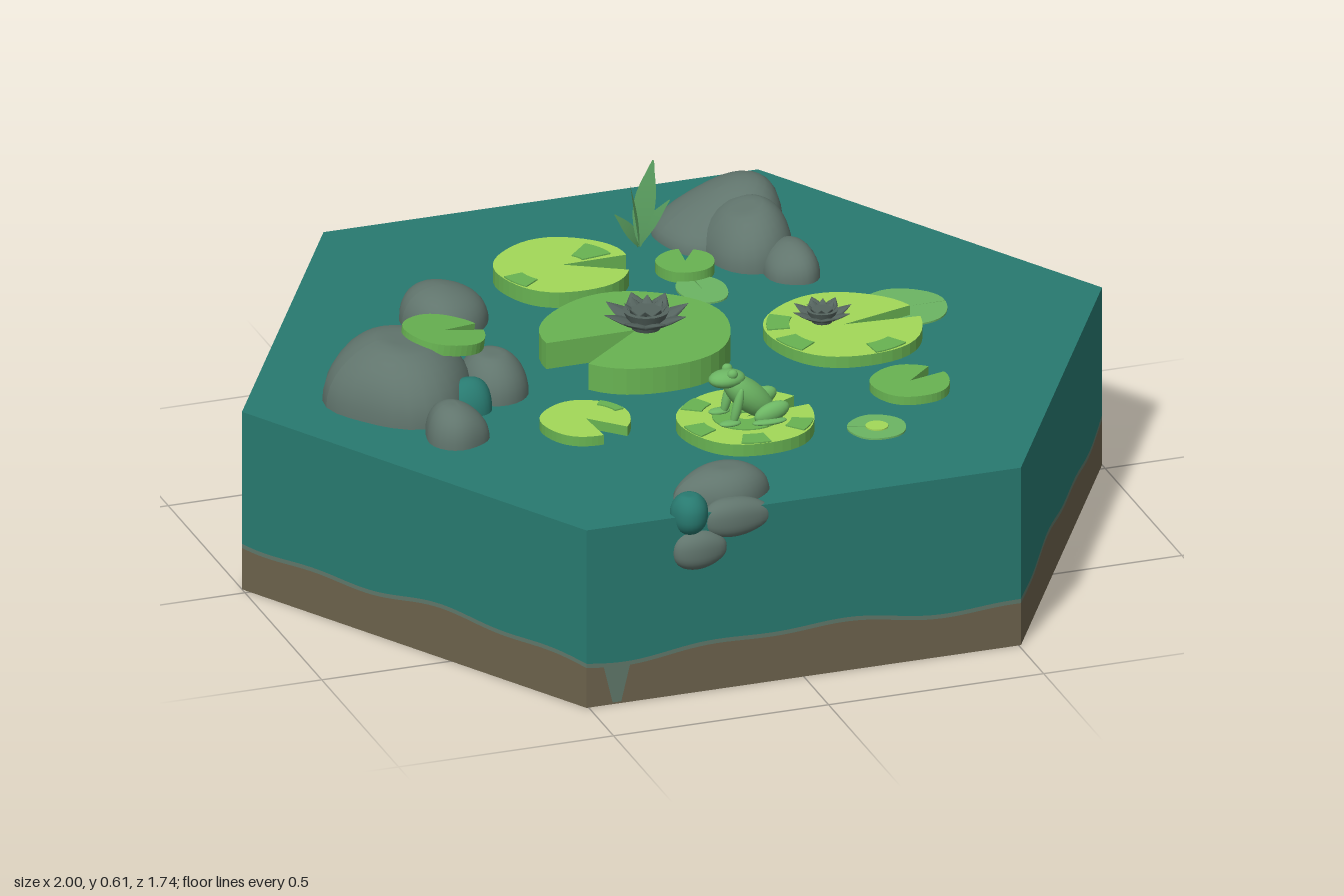
import * as THREE from 'three';

const mat = (name, color, side = THREE.FrontSide) => {
  const m = new THREE.MeshStandardMaterial({ color, side });
  m.name = name;
  return m;
};

export function createModel() {
  const water = mat('water teal', 0x287a70);
  const mud = mat('mud brown', 0x6c624c);
  const silt = mat('silt grey green', 0x5f776a);
  const bedrock = mat('bedrock dark', 0x4c625b);
  const stone = mat('stone grey', 0x61756d);
  const lime = mat('lime leaf', 0xa2d858);
  const green = mat('mid green leaf', 0x68b352);
  const pale = mat('soft green leaf', 0x6cb563);
  const reed = mat('reed green', 0x55965a, THREE.DoubleSide);
  const petalDark = mat('petal charcoal', 0x55645f);

  const root = new THREE.Group();
  const add = (name, geo, material, x = 0, y = 0, z = 0, parent = root) => {
    const m = new THREE.Mesh(geo, material);
    m.name = name;
    m.position.set(x, y, z);
    parent.add(m);
    return m;
  };
  const group = (name, x, y, z) => {
    const g = new THREE.Group();
    g.name = name;
    g.position.set(x, y, z);
    root.add(g);
    return g;
  };

  // Hexagonal block: water over a wavy bed of mud
  const TOP = 0.425, STEPS = 50;
  const corners = [[1, -0.02], [0.505, -0.875], [-0.505, -0.875], [-1, -0.02], [-0.505, 0.838], [0.505, 0.838]];
  const hexShape = s => new THREE.Shape(corners.map(([x, z]) => new THREE.Vector2(x, s * z)));
  add('waterSurface', new THREE.ShapeGeometry(hexShape(-1)).rotateX(-Math.PI / 2), water, 0, TOP, 0);
  add('bedUnderside', new THREE.ShapeGeometry(hexShape(1)).rotateX(Math.PI / 2), bedrock);

  const bedHeight = (edge, f) => {
    const t = (edge + f) / 6 * Math.PI * 2;
    return 0.104 + 0.01 * Math.sin(t * 7) + 0.006 * Math.sin(t * 17 + 1);
  };
  // Two silt streaks cut down through the mud
  const mudHeight = (edge, f) => {
    const streak = (edge === 4 && Math.abs(f - 0.07) < 0.02) || (edge === 0 && Math.abs(f - 0.34) < 0.025);
    return streak ? 0.004 : bedHeight(edge, f);
  };
  const siltTop = (edge, f) => bedHeight(edge, f) + 0.01;
  const wall = (low, high) => {
    const pos = [];
    corners.forEach((a, e) => {
      const b = corners[(e + 1) % 6];
      const at = (f, h) => [a[0] + (b[0] - a[0]) * f, h(e, f), a[1] + (b[1] - a[1]) * f];
      for (let i = 0; i < STEPS; i++) {
        const f = i / STEPS, g = (i + 1) / STEPS;
        pos.push(...at(f, low), ...at(g, low), ...at(g, high), ...at(f, low), ...at(g, high), ...at(f, high));
      }
    });
    const geo = new THREE.BufferGeometry();
    geo.setAttribute('position', new THREE.Float32BufferAttribute(pos, 3));
    geo.computeVertexNormals();
    return geo;
  };
  add('mudWall', wall(() => 0, mudHeight), mud);
  add('siltLine', wall(mudHeight, siltTop), silt);
  add('waterWall', wall(siltTop, () => TOP), water);

  // Lumpy stones, blunt on top; lean raises the +x side
  const rock = (name, x, y, z, rx, ry, rz, seed, { lean = 0, material = stone } = {}) => {
    const geo = new THREE.SphereGeometry(1, 28, 20);
    const p = geo.attributes.position;
    for (let i = 0; i < p.count; i++) {
      const vx = p.getX(i), vy = p.getY(i), vz = p.getZ(i);
      const k = 1 + 0.06 * Math.sin(3 * vx + seed) + 0.05 * Math.sin(4 * vz + 2 * seed) * (1 - vy * vy);
      const blunt = Math.sign(vy) * Math.min(1, Math.abs(vy) ** 0.85 * (1 + 0.08 * Math.sin(2 * vx + seed)));
      p.setXYZ(i, vx * k * rx, blunt * ry * (1 + lean * vx), vz * k * rz);
    }
    geo.computeVertexNormals();
    return add(name, geo, material, x, y, z);
  };
  const W = 0.42;
  rock('leftBoulder', -0.65, W, 0.02, 0.17, 0.145, 0.18, 1, { lean: -0.1 });
  rock('leftLowStone', -0.44, W, 0.05, 0.085, 0.095, 0.085, 2);
  rock('leftWetStone', -0.53, W, 0.13, 0.055, 0.085, 0.05, 5, { material: water });
  rock('leftSmallStone', -0.6, W, 0.26, 0.07, 0.085, 0.08, 3);
  rock('backLeftStone', -0.415, W, -0.34, 0.09, 0.095, 0.12, 4);
  rock('backBoulder', 0.31, W, -0.58, 0.14, 0.125, 0.14, 5, { lean: 0.45 });
  rock('backBoulderFoot', 0.335, W, -0.47, 0.11, 0.115, 0.12, 2, { lean: 0.25 });
  rock('backSmallStone', 0.385, W, -0.34, 0.06, 0.075, 0.09, 6);
  rock('frontStone', -0.16, W, 0.745, 0.11, 0.07, 0.075, 7);
  rock('frontLowStone', -0.26, 0.425, 0.825, 0.045, 0.045, 0.04, 8, { material: water });
  rock('frontHangingStone', -0.24, 0.34, 0.83, 0.065, 0.045, 0.035, 9);
  rock('frontSideStone', -0.15, 0.40, 0.82, 0.08, 0.045, 0.035, 3);

  // Notched lily pads, with a darker rim
  const sector = (r, from, to, wobble = 0) => {
    const s = new THREE.Shape();
    s.moveTo(0, 0);
    for (let i = 0; i <= 40; i++) {
      const a = from + (to - from) * i / 40, k = r * (1 + wobble * Math.sin(a * 5));
      s.lineTo(Math.cos(a) * k, Math.sin(a) * k);
    }
    return s;
  };
  const plate = (shape, depth) =>
    new THREE.ExtrudeGeometry(shape, { depth, bevelEnabled: false }).rotateX(-Math.PI / 2).translate(0, -depth, 0);
  const pad = (name, x, z, r, top, depth, notch, width, face, rim = green) =>
    add(name, plate(sector(r, notch + width / 2, notch + Math.PI * 2 - width / 2, 0.015), depth), [face, rim], x, top, z);
  pad('centrePad', -0.085, -0.015, 0.21, 0.487, 0.07, 3.5, 0.7, green);
  const rightPad = pad('rightPad', 0.38, 0.035, 0.175, 0.452, 0.04, 0.1, 0.35, lime);
  pad('rightBackPad', 0.55, -0.06, 0.1, 0.429, 0.008, 0, 0.02, pale, pale);
  const backPad = pad('backPad', -0.1, -0.455, 0.15, 0.462, 0.045, -0.25, 0.55, lime);
  const smallPad = pad('smallPad', -0.32, 0.315, 0.1, 0.448, 0.03, -1.15, 0.7, lime);
  const frogPad = pad('frogPad', 0.01, 0.435, 0.152, 0.453, 0.035, 0.3, 0.35, lime);
  pad('frontRightPad', 0.42, 0.355, 0.088, 0.445, 0.025, 0.5, 0.5, green);
  pad('frontTinyPad', 0.28, 0.53, 0.065, 0.429, 0.008, 2.8, 0.1, pale, pale);
  add('tinyPadCentre', plate(sector(0.025, 0, Math.PI * 2), 0.004), lime, 0.28, 0.432, 0.53);
  pad('backSproutPad', 0.17, -0.41, 0.065, 0.45, 0.03, 1.2, 0.5, green);
  pad('backSproutPadLow', 0.17, -0.3, 0.055, 0.429, 0.008, 1.6, 0.1, pale, pale).scale.z = 1.4;
  const boulderPad = pad('boulderPad', -0.54, 0.01, 0.092, 0.565, 0.025, 0.2, 0.4, green);
  boulderPad.rotation.z = -0.14;

  // Thin darker patches on the lime pads
  const patch = (parent, r0, r1, from, to) => {
    const s = new THREE.Shape();
    s.absarc(0, 0, r1, from, to, false);
    s.absarc(0, 0, r0, to, from, true);
    add('leafPatch', plate(s, 0.003), green, 0, 0.003, 0, parent);
  };
  [0.9, 2.1, 3.2, 4.3, 5.4].forEach(a => patch(frogPad, 0.1, 0.148, a, a + 0.45));
  patch(frogPad, 0.02, 0.075, 0.6, 5.9);
  [2.5, 3.3, 4.8].forEach(a => patch(rightPad, 0.12, 0.17, a, a + 0.5));
  patch(backPad, 0.05, 0.12, 0.15, 0.8);
  patch(backPad, 0.1, 0.145, 3.3, 3.8);
  patch(smallPad, 0.075, 0.097, 0.2, 0.9);

  // Water lily flowers: a ring of broad pointed petals around smaller ones and a cup
  const flower = (name, x, y, z, size) => {
    const g = group(name, x, y, z);
    [[8, 1.15, 1], [8, 0.7, 0.7]].forEach(([n, tilt, len], ring) => {
      for (let i = 0; i < n; i++) {
        const petal = new THREE.SphereGeometry(1, 8, 8);
        const p = petal.attributes.position;
        for (let j = 0; j < p.count; j++) {
          const t = (p.getY(j) + 1) / 2, w = Math.sin(Math.PI * t ** 0.85) * 0.28;
          const q = Math.hypot(p.getX(j), p.getZ(j)) || 1;
          p.setXYZ(j, p.getX(j) / q * w * 0.22, t, p.getZ(j) / q * w);
        }
        petal.scale(size * len, size * len, size * len).rotateZ(-tilt).rotateY((i + ring / 2) / n * Math.PI * 2);
        petal.computeVertexNormals();
        add('petal', petal, petalDark, 0, 0, 0, g);
      }
    });
    add('flowerCup', new THREE.CylinderGeometry(size * 0.48, size * 0.3, size * 0.4, 16), petalDark, 0, size * 0.2, 0, g);
  };
  flower('centreFlower', -0.06, 0.487, -0.02, 0.108);
  flower('rightFlower', 0.34, 0.453, 0.005, 0.075);

  // Frog sitting on its pad, facing -x
  const frog = group('frog', 0.01, 0.453, 0.435);
  const blob = (name, x, y, z, rx, ry, rz, tilt = 0) => {
    const m = add(name, new THREE.SphereGeometry(1, 18, 12).scale(rx, ry, rz), pale, x, y, z, frog);
    m.rotation.z = tilt;
  };
  blob('frogBody', 0.005, 0.05, 0, 0.075, 0.034, 0.038, -0.75);
  blob('frogHead', -0.045, 0.098, 0, 0.042, 0.02, 0.03);
  for (const s of [-1, 1]) {
    blob('frogEye', -0.038, 0.114, s * 0.018, 0.012, 0.011, 0.01);
    blob('frogThigh', 0.045, 0.022, s * 0.042, 0.042, 0.022, 0.018, 0.3);
    blob('frogHindFoot', 0.035, 0.006, s * 0.055, 0.04, 0.007, 0.014);
    blob('frogFrontLeg', -0.032, 0.04, s * 0.032, 0.011, 0.045, 0.011, -0.25);
    blob('frogFrontFoot', -0.05, 0.006, s * 0.036, 0.025, 0.007, 0.014);
  }

  // Reed leaves beside the back boulder: arched, pointed blades
  const plant = group('reedPlant', 0.12, 0.42, -0.57);
  [[0.045, 0.19, -0.035], [-0.035, 0.17, 0.04], [0.06, 0.12, 0.03], [-0.05, 0.08, -0.02]].forEach(([dx, h, dz]) => {
    const pos = [], idx = [], len = Math.hypot(dx, dz), N = 8;
    for (let i = 0; i <= N; i++) {
      const t = i / N, w = 0.002 + 0.02 * Math.sin(Math.PI * t) ** 1.2 * (t < 1 ? 1 : 0);
      const ox = -dz / len * w * 0.6 + w * 0.5, oz = dx / len * w;
      const cx = dx * t ** 1.5, cz = dz * t ** 1.5;
      pos.push(cx - ox, h * t, cz - oz, cx + ox, h * t, cz + oz);
      if (i < N) idx.push(2 * i, 2 * i + 1, 2 * i + 3, 2 * i, 2 * i + 3, 2 * i + 2);
    }
    const geo = new THREE.BufferGeometry();
    geo.setAttribute('position', new THREE.Float32BufferAttribute(pos, 3));
    geo.setIndex(idx);
    geo.computeVertexNormals();
    add('reedLeaf', geo, reed, 0, 0, 0, plant);
  });

  return root;
}
